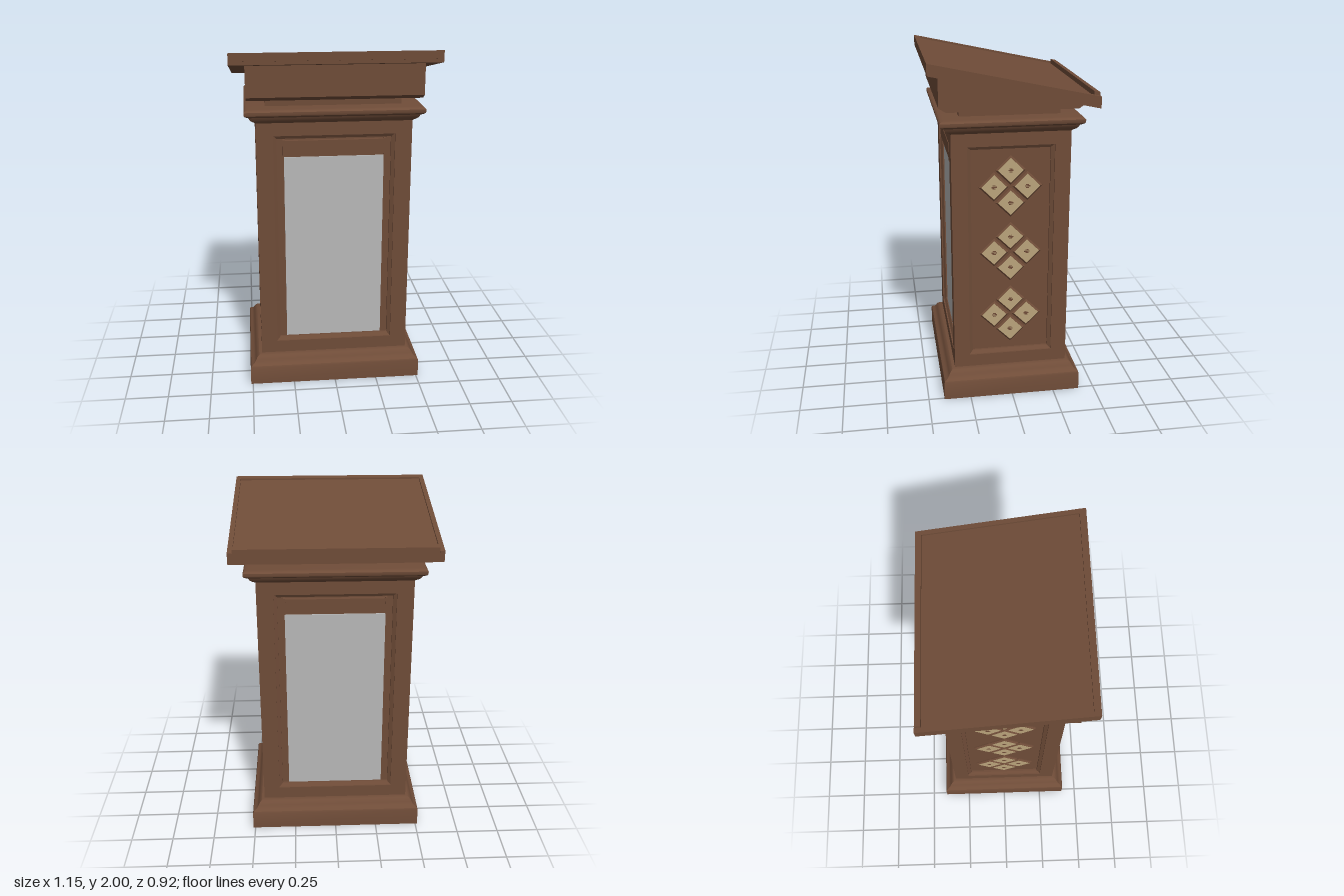
import * as THREE from 'three';
import { toCreasedNormals } from 'three/addons/utils/BufferGeometryUtils.js';

const wood = new THREE.MeshStandardMaterial({ color: 0x6f4c38 });
const ivory = new THREE.MeshStandardMaterial({ color: 0xbaa47b });
const cloth = new THREE.MeshStandardMaterial({ color: 0xb8b8b8 });
wood.name = 'wood';
ivory.name = 'ivory inlay';
cloth.name = 'grey banner';

const HX = 0.44, HZ = 0.335;      // half sizes of the shaft
const Y0 = 0.17, Y1 = 1.6;        // shaft bottom and top
const PY = 0.8825, PH = 0.6375;   // panel centre height and half height
const SLOPE = 0.212;              // fall of the reading board
const boardY = z => 1.9025 + SLOPE * z;

function add(parent, name, geometry, material, x = 0, y = 0, z = 0) {
  const mesh = new THREE.Mesh(geometry, material);
  mesh.name = name;
  mesh.position.set(x, y, z);
  parent.add(mesh);
  return mesh;
}

// Joins rectangles [halfWidth, halfHeight, z] in order and caps the last one
function loft(rings, capStart = false) {
  const pos = [];
  const corners = rings.map(([w, h, z]) => [[-w, -h, z], [w, -h, z], [w, h, z], [-w, h, z]]);
  const quad = (a, b, c, d) => pos.push(...a, ...b, ...c, ...a, ...c, ...d);
  for (let r = 0; r < corners.length - 1; r++) {
    for (let i = 0; i < 4; i++) {
      const j = (i + 1) % 4;
      quad(corners[r][i], corners[r][j], corners[r + 1][j], corners[r + 1][i]);
    }
  }
  quad(...corners[corners.length - 1]);
  if (capStart) quad(...[...corners[0]].reverse());
  const geo = new THREE.BufferGeometry();
  geo.setAttribute('position', new THREE.Float32BufferAttribute(pos, 3));
  geo.computeVertexNormals();
  return toCreasedNormals(geo, 0.6);
}

// Upright moulding around the shaft from [outset, y] points
function moulding(points, capStart) {
  return loft(points.map(([o, y]) => [HX + o, HZ + o, y]), capStart).rotateX(-Math.PI / 2);
}

// Side profile of [z, y] points, extruded from x0 to x1
function sideExtrude(points, x0, x1) {
  const shape = new THREE.Shape(points.map(([z, y]) => new THREE.Vector2(-z, y)));
  return new THREE.ExtrudeGeometry(shape, { depth: x1 - x0, bevelEnabled: false })
    .rotateY(Math.PI / 2).translate(x0, 0, 0);
}

// Strip parallel to the board slope, lo and hi measured from the board's top line
function slopedStrip(z0, z1, lo, hi, x0, x1) {
  return sideExtrude([[z1, boardY(z1) + lo], [z1, boardY(z1) + hi],
    [z0, boardY(z0) + hi], [z0, boardY(z0) + lo]], x0, x1);
}

// Shaft wall with a moulded, recessed panel, facing +z
function panelledWall(name, half, panelHalf) {
  const wall = new THREE.Group();
  wall.name = name;
  const rect = (C, w, a, b) => new C([[-w, a], [w, a], [w, b], [-w, b]].map(p => new THREE.Vector2(...p)));
  const shape = rect(THREE.Shape, half, Y0, Y1);
  shape.holes.push(rect(THREE.Path, panelHalf, PY - PH, PY + PH));
  add(wall, 'wallFrame', new THREE.ShapeGeometry(shape), wood);
  add(wall, 'recessedPanel', loft([
    [panelHalf, PH, 0], [panelHalf, PH, -0.008],
    [panelHalf - 0.02, PH - 0.02, -0.02], [panelHalf - 0.02, PH - 0.02, -0.032],
  ]), wood, 0, PY);
  return wall;
}

// Front or back wall with the hanging banner
function bannerWall(name) {
  const wall = panelledWall(name, HX, 0.345);
  add(wall, 'banner', new THREE.BoxGeometry(0.57, 1.12, 0.008), cloth, 0, 0.83, -0.028);
  add(wall, 'bannerRail', new THREE.BoxGeometry(0.56, 0.085, 0.026), wood, 0, 1.4475, -0.02);
  for (const s of [-1, 1]) {
    add(wall, 'railEnd', new THREE.BoxGeometry(0.012, 0.095, 0.03), wood, s * 0.285, 1.4475, -0.018);
  }
  return wall;
}

// Side wall with three clusters of four diamond tiles
function tileWall(name) {
  const wall = panelledWall(name, HZ, 0.245);
  for (const cy of [0.49, 0.885, 1.28]) {
    for (const [dx, dy] of [[0, 1], [1, 0], [0, -1], [-1, 0]]) {
      const tile = new THREE.Group();
      tile.name = 'diamondTile';
      tile.position.set(dx * 0.095, cy + dy * 0.095, -0.032);
      wall.add(tile);
      add(tile, 'tileBorder', loft([[0.061, 0.061, 0], [0.061, 0.061, 0.006], [0.052, 0.052, 0.014]]), wood)
        .rotation.z = Math.PI / 4;
      add(tile, 'tileInlay', new THREE.BoxGeometry(0.102, 0.102, 0.003), ivory, 0, 0, 0.0145)
        .rotation.z = Math.PI / 4;
      // small abstract rosette
      add(tile, 'rosetteBar', new THREE.BoxGeometry(0.03, 0.008, 0.002), wood, 0, 0, 0.0158);
      for (const s of [-1, 1]) {
        add(tile, 'rosetteDot', new THREE.BoxGeometry(0.018, 0.005, 0.002), wood, 0, s * 0.009, 0.0158);
      }
    }
  }
  return wall;
}

export function createModel() {
  const model = new THREE.Group();
  model.name = 'lectern';

  // Plinth and cornice
  add(model, 'plinth', moulding([
    [0.072, 0], [0.072, 0.105], [0.068, 0.115], [0.055, 0.123], [0.045, 0.13],
    [0.038, 0.143], [0.03, 0.156], [0.018, 0.166], [0.006, 0.17], [0, 0.171],
  ], true), wood);
  add(model, 'cornice', moulding([
    [0, 1.595], [0.008, 1.602], [0.018, 1.608], [0.03, 1.62], [0.037, 1.634], [0.05, 1.64],
    [0.06, 1.647], [0.063, 1.655], [0.063, 1.668], [0.055, 1.676], [0.035, 1.68],
  ], true), wood);

  // Four shaft walls
  const front = bannerWall('frontWall');
  front.position.z = HZ;
  const back = bannerWall('backWall');
  back.position.z = -HZ;
  back.rotation.y = Math.PI;
  model.add(front, back);
  for (const s of [-1, 1]) {
    const side = tileWall(s > 0 ? 'leftWall' : 'rightWall');
    side.position.x = s * HX;
    side.rotation.y = s * Math.PI / 2;
    model.add(side);
  }

  // Neck and wedge-shaped box under the board
  add(model, 'neck', new THREE.BoxGeometry(0.77, 0.06, 0.565), wood, 0, 1.705, 0);
  add(model, 'wedgeBox', sideExtrude([
    [0.4, 1.93], [0.4, 1.75], [0.36, 1.726], [-0.36, 1.726], [-0.4, 1.755],
  ], -0.49, 0.49), wood);

  // Sloped reading board with raised rim and book ledge
  add(model, 'readingBoard', slopedStrip(-0.458, 0.46, -0.064, -0.01, -0.575, 0.575), wood);
  for (const s of [-1, 1]) {
    const x = s * 0.5615;
    add(model, 'sideRim', slopedStrip(-0.46, 0.462, -0.045, 0, x - 0.0135, x + 0.0135), wood);
  }
  add(model, 'upperRim', slopedStrip(0.427, 0.462, -0.045, 0, -0.548, 0.548), wood);
  add(model, 'bookLedge', slopedStrip(-0.458, -0.425, -0.03, 0.018, -0.548, 0.548), wood);
  return model;
}
